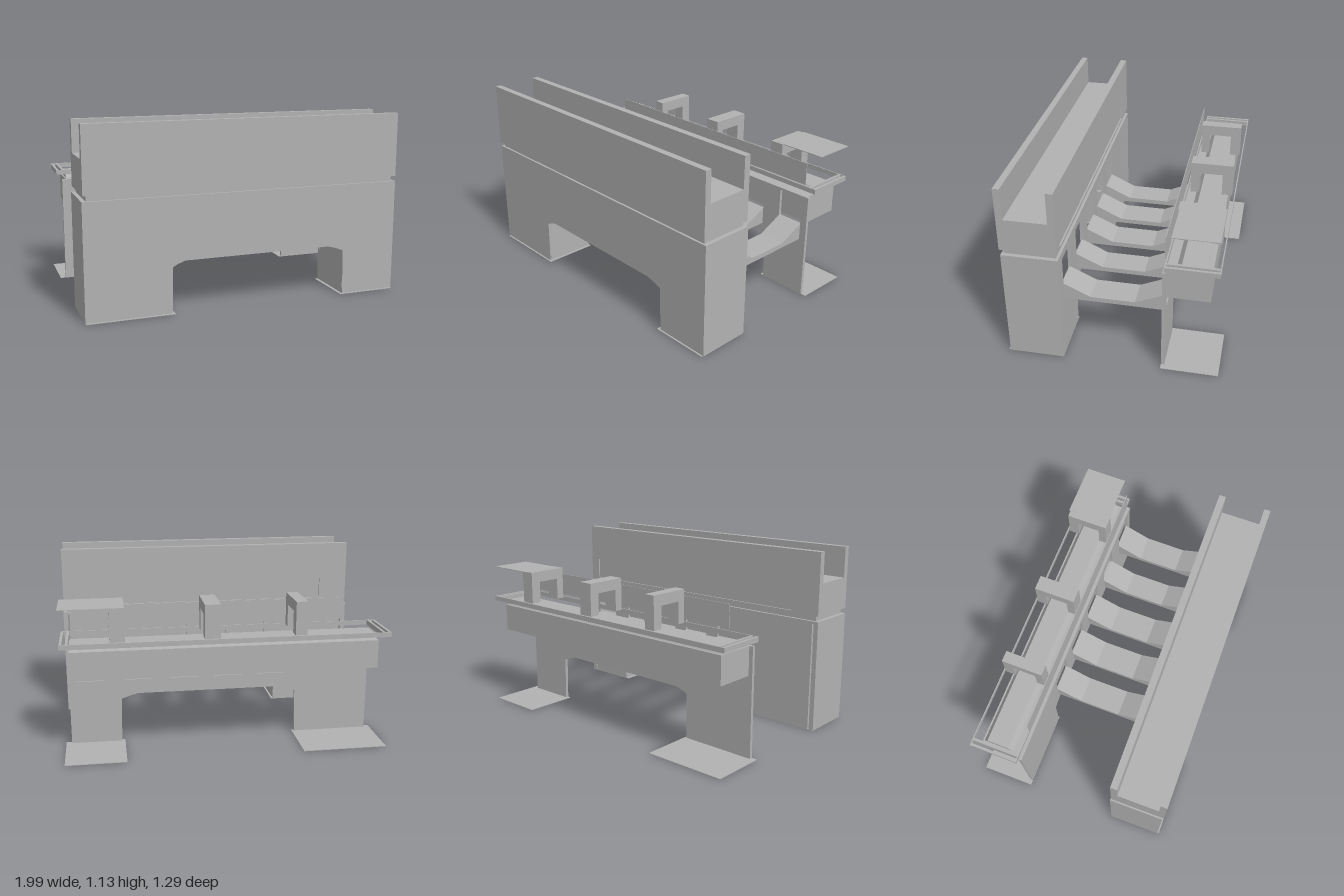
import * as THREE from 'three';

const concrete = new THREE.MeshStandardMaterial({ color: 0xb2b2b2, side: THREE.DoubleSide });
concrete.name = 'concrete grey';

// x ranges of the cross beams and of the wall openings they meet
const BEAMS = [[-0.4, -0.23], [-0.13, 0.05], [0.15, 0.33], [0.45, 0.61], [0.74, 0.91]];

function add(group, name, geometry) {
  const mesh = new THREE.Mesh(geometry, concrete);
  mesh.name = name;
  group.add(mesh);
  return mesh;
}

// box given by its limits on each axis
function box(group, name, [x0, x1], [y0, y1], [z0, z1]) {
  const g = new THREE.BoxGeometry(x1 - x0, y1 - y0, z1 - z0);
  g.translate((x0 + x1) / 2, (y0 + y1) / 2, (z0 + z1) / 2);
  return add(group, name, g);
}

const toPoints = (list) => list.map(([a, b]) => new THREE.Vector2(a, b));
const rect = (x0, x1, y0, y1) => toPoints([[x0, y0], [x0, y1], [x1, y1], [x1, y0]]);

// upright plate with an outline in x and y
function plate(group, name, outline, holes, [z0, z1]) {
  const shape = new THREE.Shape(toPoints(outline));
  holes.forEach((h) => shape.holes.push(new THREE.Path(rect(...h))));
  const g = new THREE.ExtrudeGeometry(shape, { depth: z1 - z0, bevelEnabled: false });
  g.translate(0, 0, z0);
  return add(group, name, g);
}

// prism along x with a profile in z and y
function prism(group, name, profile, [x0, x1]) {
  const shape = new THREE.Shape(toPoints(profile));
  const g = new THREE.ExtrudeGeometry(shape, { depth: x1 - x0, bevelEnabled: false });
  g.rotateY(-Math.PI / 2);
  g.translate(x1, 0, 0);
  return add(group, name, g);
}

// wall outline with the wide, chamfered opening between the two legs
const archWall = (half, top) => [
  [-half, 0], [-0.48, 0], [-0.475, 0.285], [-0.45, 0.3], [-0.4, 0.318], [0.53, 0.318],
  [0.58, 0.305], [0.635, 0.285], [0.64, 0], [half, 0], [half, top], [-half, top],
];
const windows = BEAMS.map(([a, b]) => [a, b, 0.41, 0.66]);

function frontRange() {
  const g = new THREE.Group();
  g.name = 'frontRange';
  // hollow body
  plate(g, 'frontWall', archWall(0.995, 0.705), [], [0.605, 0.63]);
  plate(g, 'innerWall', archWall(0.955, 0.69), windows, [0.295, 0.313]);
  [-1, 1].forEach((s) => {
    const x = [0.965 * s, 0.995 * s].sort((a, b) => a - b);
    box(g, 'endWall', x, [0, 0.705], [0.295, 0.63]);
  });
  box(g, 'bodyTop', [-0.995, 0.995], [0.69, 0.705], [0.295, 0.63]);
  // leg cheeks and soles
  box(g, 'legCheek', [-0.485, -0.478], [0, 0.285], [0.297, 0.62]);
  box(g, 'legCheek', [0.638, 0.645], [0, 0.285], [0.297, 0.62]);
  box(g, 'sole', [-0.99, -0.465], [0, 0.004], [0.295, 0.64]);
  box(g, 'sole', [0.62, 0.99], [0, 0.004], [0.295, 0.64]);
  // recessed joint under the channel
  box(g, 'joint', [-0.97, 0.97], [0.7, 0.74], [0.312, 0.617]);
  // open channel on top, with a sunk panel on its inner side
  box(g, 'channelBase', [-0.99, 0.99], [0.738, 0.94], [0.31, 0.637]);
  plate(g, 'channelInnerFace',
    [[-0.99, 0.738], [0.99, 0.738], [0.99, 0.94], [-0.99, 0.94]],
    [[-0.8, 0.92, 0.75, 0.89]], [0.3, 0.31]);
  box(g, 'channelWall', [-0.99, 0.99], [0.94, 1.135], [0.3, 0.342]);
  box(g, 'channelWall', [-0.99, 0.99], [0.94, 1.135], [0.597, 0.637]);
  g.rotation.y = 0.009;
  return g;
}

function backRange() {
  const g = new THREE.Group();
  g.name = 'backRange';
  plate(g, 'innerWall', archWall(0.955, 0.675), windows, [-0.32, -0.3]);
  box(g, 'sole', [-0.99, -0.465], [0, 0.004], [-0.645, -0.3]);
  box(g, 'sole', [0.62, 0.99], [0, 0.004], [-0.645, -0.3]);
  // long beam with a tapered deck
  box(g, 'longBeam', [-0.93, 0.94], [0.5, 0.675], [-0.575, -0.319]);
  prism(g, 'taperedDeck',
    [[-0.565, 0.674], [-0.37, 0.674], [-0.4, 0.71], [-0.54, 0.71]], [-0.92, 0.93]);
  // thin rim around the top
  [-0.622, -0.318].forEach((z) =>
    box(g, 'rimSide', [-0.99, 0.99], [0.707, 0.737], [z - 0.003, z + 0.003]));
  [-0.98, -0.945, 0.945, 0.98].forEach((x) =>
    box(g, 'rimEnd', [x - 0.008, x + 0.008], [0.707, 0.737], [-0.622, -0.318]));
  // portals standing on the rim
  const portal = [
    [-0.605, 0.735], [-0.54, 0.735], [-0.54, 0.872], [-0.393, 0.872],
    [-0.393, 0.735], [-0.342, 0.735], [-0.342, 0.94], [-0.605, 0.94],
  ];
  [[-0.47, -0.4], [0.05, 0.145], [0.61, 0.7]].forEach((x) => prism(g, 'portal', portal, x));
  // roof sheet beside the last portal and the free upright panel
  box(g, 'roofSheet', [0.65, 0.99], [0.937, 0.941], [-0.615, -0.35]);
  box(g, 'uprightPanel', [-0.78, 0.92], [0.75, 0.89], [-0.312, -0.308]);
  return g;
}

export function createModel() {
  const model = new THREE.Group();
  model.name = 'twinRangeStructure';
  model.add(frontRange(), backRange());
  // haunched cross beams joining both ranges
  const beam = [
    [-0.31, 0.38], [0.3, 0.38], [0.3, 0.488], [0.29, 0.485],
    [0.13, 0.41], [-0.135, 0.41], [-0.3, 0.485], [-0.31, 0.488],
  ];
  BEAMS.forEach((x) => prism(model, 'crossBeam', beam, x));
  return model;
}
